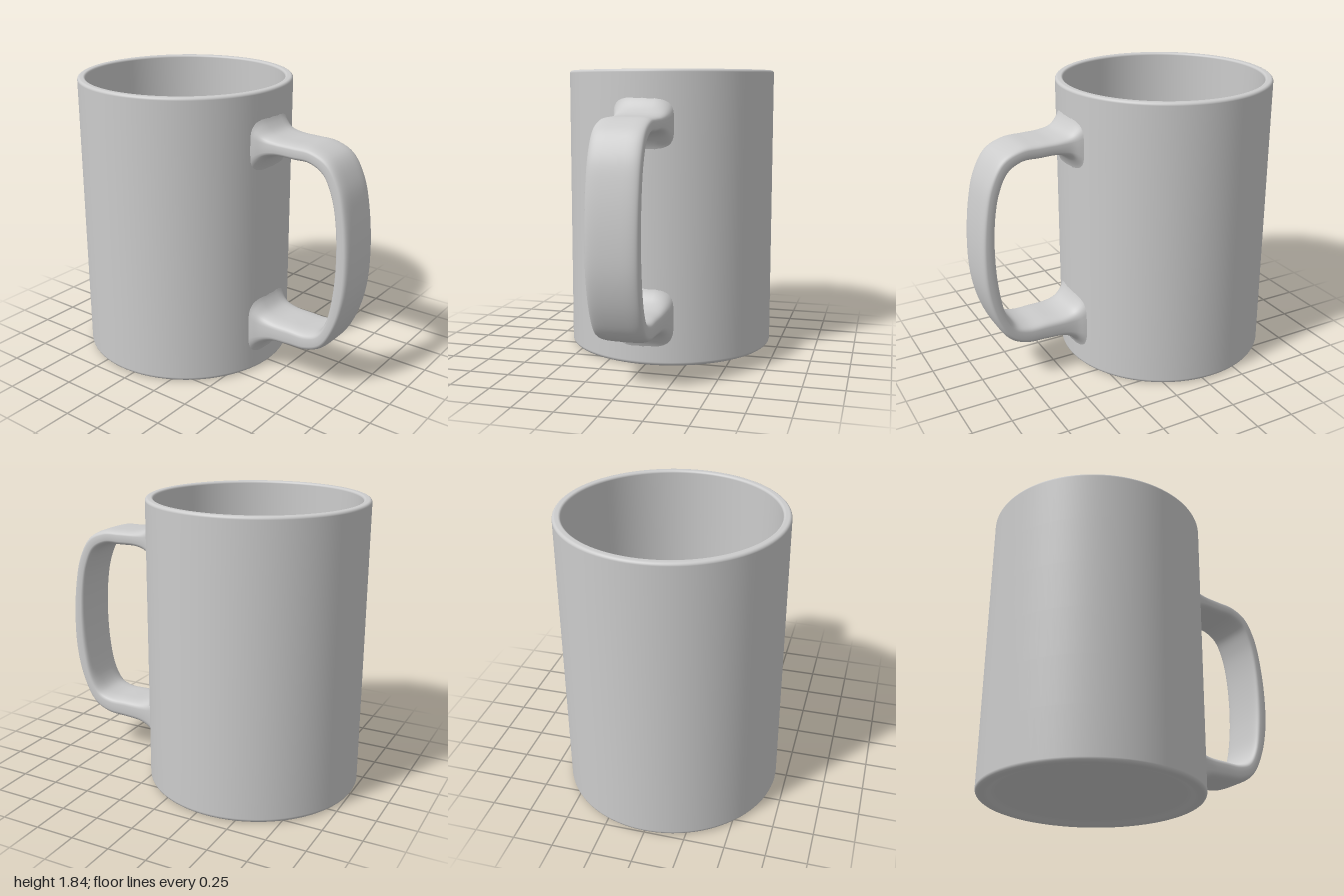
import * as THREE from 'three';

const RADIUS = 0.682, HEIGHT = 1.84, CENTRE_Z = -0.32;
const material = new THREE.MeshStandardMaterial({ color: 0xcccccc, side: THREE.DoubleSide });

// Cup: one closed profile running underside, outer wall, rim, inner wall, floor
function createCup() {
  const profile = [];
  const add = (x, y) => profile.push(new THREE.Vector2(x, y));
  const arc = (cx, cy, r, from, to, steps) => {
    for (let i = 0; i <= steps; i++) {
      const a = from + (to - from) * i / steps;
      add(cx + r * Math.cos(a), cy + r * Math.sin(a));
    }
  };
  const PI = Math.PI;
  // Slightly recessed underside and foot ring
  add(0, 0.025); add(0.3, 0.025); add(0.56, 0.025); add(0.585, 0.02); add(0.61, 0.006);
  add(0.63, 0);
  arc(RADIUS - 0.025, 0.025, 0.025, -PI / 2, 0, 6);
  // Straight outer wall and softly rounded rim
  for (let i = 1; i < 6; i++) add(RADIUS, 0.025 + (HEIGHT - 0.05) * i / 6);
  arc(RADIUS - 0.018, HEIGHT - 0.018, 0.018, 0, PI / 2, 6);
  arc(0.647, HEIGHT - 0.015, 0.015, PI / 2, PI, 6);
  // Inner wall, filleted into the floor
  for (let i = 1; i < 6; i++) add(0.632, HEIGHT - 0.015 - 1.645 * i / 6);
  arc(0.532, 0.18, 0.1, 0, -PI / 2, 10);
  add(0.3, 0.08); add(0, 0.08);
  const cup = new THREE.Mesh(new THREE.LatheGeometry(profile, 96), material);
  cup.name = 'cup';
  cup.position.z = CENTRE_Z;
  return cup;
}

// Handle: rounded-rectangle sections lofted between an outer and an inner edge
function createHandle() {
  // outer z, outer y, inner z, inner y, half width
  const stations = [
    [0.345, 1.71, 0.345, 1.30, 0.2],
    [0.375, 1.64, 0.372, 1.38, 0.188],
    [0.42, 1.59, 0.415, 1.44, 0.17],
    [0.49, 1.57, 0.48, 1.465, 0.162],
    [0.6, 1.565, 0.6, 1.465, 0.159],
    [0.72, 1.558, 0.71, 1.462, 0.159],
    [0.84, 1.505, 0.8, 1.41, 0.159],
    [0.925, 1.37, 0.855, 1.3, 0.159],
    [0.972, 1.18, 0.888, 1.15, 0.159],
    [0.998, 0.9, 0.902, 0.92, 0.159],
    [0.985, 0.66, 0.89, 0.69, 0.159],
    [0.925, 0.45, 0.855, 0.505, 0.159],
    [0.84, 0.31, 0.8, 0.415, 0.159],
    [0.73, 0.257, 0.72, 0.385, 0.159],
    [0.6, 0.247, 0.6, 0.385, 0.159],
    [0.48, 0.235, 0.48, 0.39, 0.163],
    [0.415, 0.2, 0.415, 0.415, 0.172],
    [0.375, 0.15, 0.372, 0.47, 0.188],
    [0.345, 0.08, 0.345, 0.55, 0.2],
  ];
  const curve = (fn) => new THREE.CatmullRomCurve3(stations.map(fn));
  const outer = curve((s) => new THREE.Vector3(s[4], s[1], s[0]));
  const inner = curve((s) => new THREE.Vector3(s[4], s[3], s[2]));
  const rings = 108, sides = 40, positions = [], index = [];
  const soft = (v) => Math.sign(v) * Math.pow(Math.abs(v), 0.5);

  for (let i = 0; i <= rings; i++) {
    const o = outer.getPoint(i / rings), n = inner.getPoint(i / rings);
    const middle = o.clone().add(n).multiplyScalar(0.5);
    for (let j = 0; j < sides; j++) {
      const a = j / sides * Math.PI * 2;
      const x = soft(Math.cos(a)) * o.x, k = soft(Math.sin(a));
      const y = middle.y + (o.y - middle.y) * k;
      let z = middle.z + (o.z - middle.z) * k;
      // Wrap the flared roots around the cup wall
      const wrap = THREE.MathUtils.clamp((0.55 - z) / 0.18, 0, 1);
      z -= wrap * (RADIUS - Math.sqrt(RADIUS * RADIUS - x * x));
      positions.push(x - 0.008, y, z);
      if (i < rings) {
        const p = i * sides + j, q = i * sides + (j + 1) % sides;
        index.push(p, q, q + sides, p, q + sides, p + sides);
      }
    }
  }
  const geometry = new THREE.BufferGeometry();
  geometry.setAttribute('position', new THREE.Float32BufferAttribute(positions, 3));
  geometry.setIndex(index);
  geometry.computeVertexNormals();
  const handle = new THREE.Mesh(geometry, material);
  handle.name = 'handle';
  return handle;
}

export function createModel() {
  const mug = new THREE.Group();
  mug.name = 'mug';
  mug.add(createCup(), createHandle());
  return mug;
}
